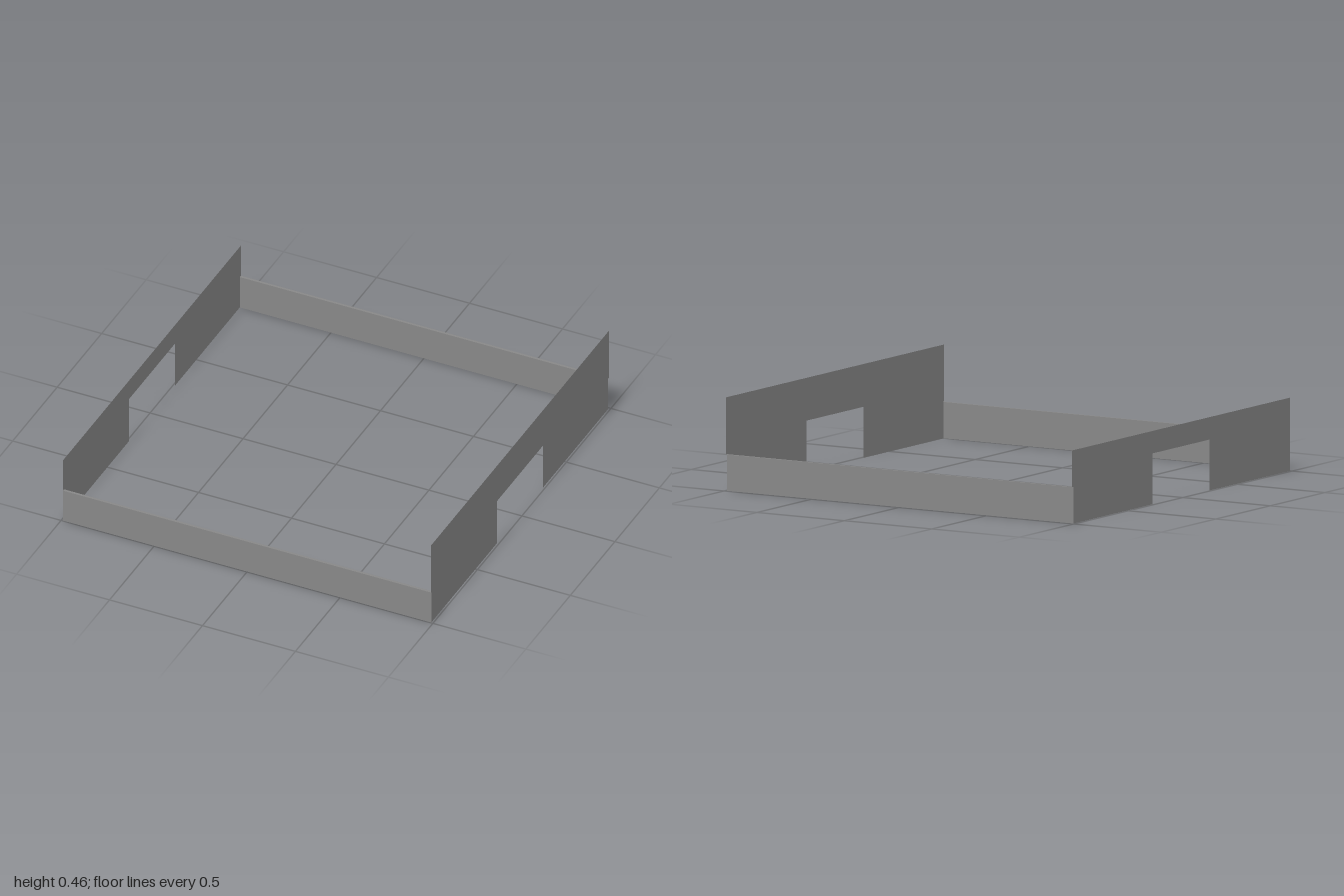
import * as THREE from 'three';

const HALF_X = 0.99, LIP_Y = 0.18, LIP_DEPTH = 0.013;
const FRONT_Z = 0.997, BACK_Z = -0.987;

export function createModel() {
  const model = new THREE.Group();
  const material = new THREE.MeshStandardMaterial({
    color: 0x878787, flatShading: true, side: THREE.DoubleSide,
  });
  const add = (geometry, name) => {
    const mesh = new THREE.Mesh(geometry, material);
    mesh.name = name;
    model.add(mesh);
  };

  // Side walls as (z, y) outlines: open archway below, small steps at the ends.
  // The left wall is taller than the right one.
  for (const [x, height, name] of [[HALF_X, 0.46, 'leftWall'], [-HALF_X, 0.36, 'rightWall']]) {
    const outline = [
      [FRONT_Z, 0], [FRONT_Z, LIP_Y], [1, LIP_Y], [1, height],
      [-1, height], [-1, LIP_Y], [BACK_Z, LIP_Y], [BACK_Z, 0],
      [-0.26, 0], [-0.26, 0.25], [0.26, 0.25], [0.26, 0],
    ].map(([z, y]) => new THREE.Vector2(-z, y));
    const wall = new THREE.ShapeGeometry(new THREE.Shape(outline));
    add(wall.rotateY(Math.PI / 2).translate(x, 0, 0), name);
  }

  // Low end panels, each with a narrow lip along the top
  for (const [z, edge, name] of [[FRONT_Z, 1, 'front'], [BACK_Z, -1, 'back']]) {
    const panel = new THREE.PlaneGeometry(2 * HALF_X, LIP_Y);
    if (edge < 0) panel.rotateY(Math.PI);
    add(panel.translate(0, LIP_Y / 2, z), name + 'Panel');

    const lip = new THREE.PlaneGeometry(2 * HALF_X, LIP_DEPTH);
    lip.rotateX(-Math.PI / 2).translate(0, LIP_Y, edge * (1 - LIP_DEPTH / 2));
    add(lip, name + 'Lip');
  }
  return model;
}
